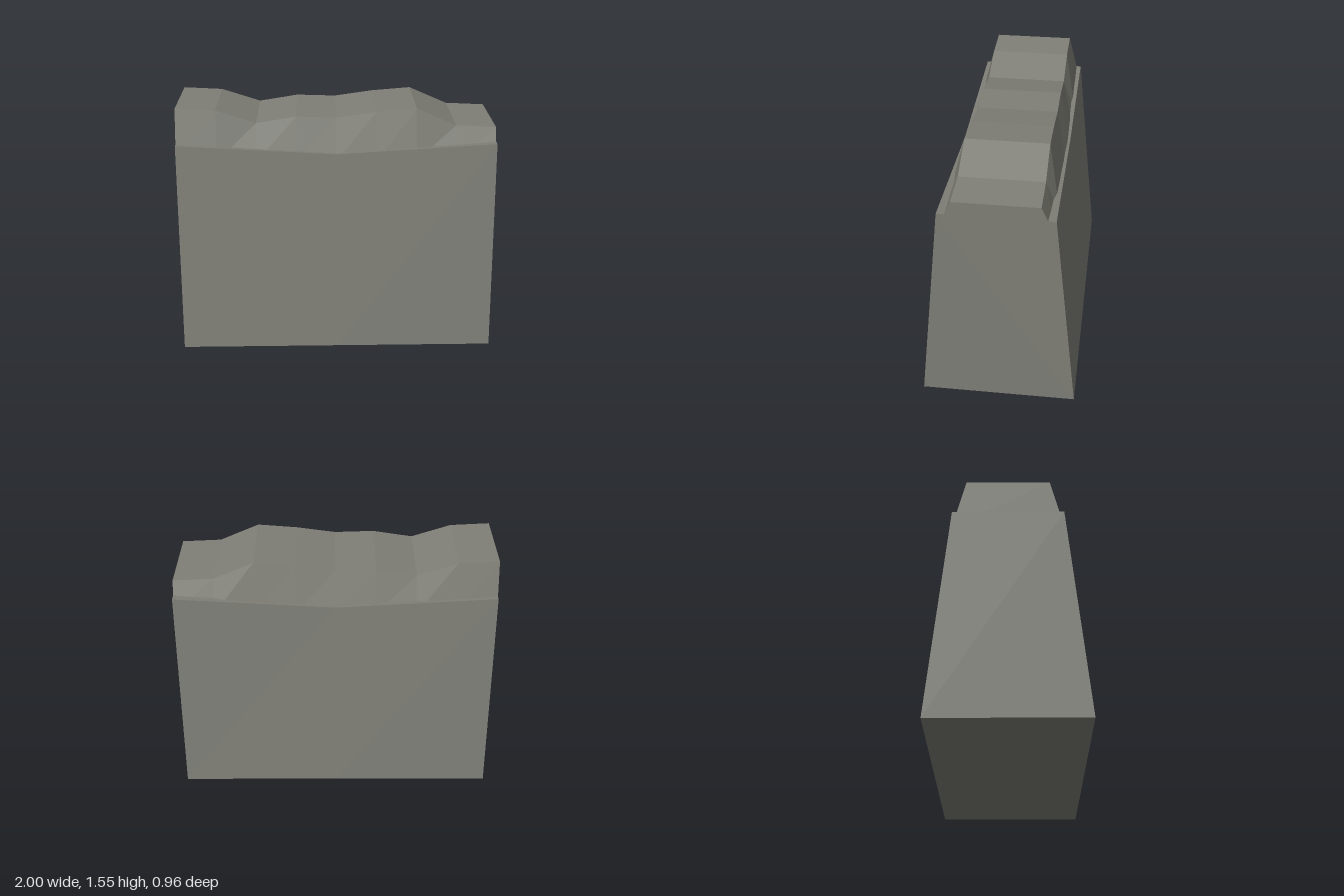
import * as THREE from 'three';

// Solid lofted along x; each section is four [y, z] corners, counter-clockwise seen from +x
function loft(xs, sections) {
  const pos = [], idx = [];
  const n = 4, last = (xs.length - 1) * n;
  xs.forEach((x, i) => sections[i].forEach(([y, z]) => pos.push(x, y, z)));
  for (let i = 0; i < xs.length - 1; i++) {
    for (let j = 0; j < n; j++) {
      const a = i * n + j, b = i * n + (j + 1) % n;
      idx.push(a, a + n, b + n, a, b + n, b);
    }
  }
  // End caps
  idx.push(0, 1, 2, 0, 2, 3);
  idx.push(last, last + 2, last + 1, last, last + 3, last + 2);
  const geo = new THREE.BufferGeometry();
  geo.setAttribute('position', new THREE.Float32BufferAttribute(pos, 3));
  geo.setIndex(idx);
  const flat = geo.toNonIndexed();
  flat.computeVertexNormals();
  return flat;
}

// Symmetric tapering section
const section = (y0, z0, y1, z1) => [[y0, z0], [y0, -z0], [y1, -z1], [y1, z1]].reverse();

export function createModel() {
  const group = new THREE.Group();
  group.name = 'stoneWall';
  const stone = new THREE.MeshStandardMaterial({ color: 0x7f7f77 });
  stone.name = 'grey stone';

  const add = (name, xs, sections) => {
    const mesh = new THREE.Mesh(loft(xs, sections), stone);
    mesh.name = name;
    group.add(mesh);
  };

  // Battered wall with a slightly sagging top
  add('wallBody', [-1, 0, 1], [1.34, 1.28, 1.34].map(y => section(0, 0.478, y, 0.34)));

  // Uneven rubble crest, sunk into the wall
  const crest = [1.555, 1.542, 1.46, 1.5, 1.492, 1.527, 1.547, 1.437, 1.425];
  add('wallCrest', crest.map((_, i) => -1 + i * 0.25), crest.map(y => section(1.235, 0.338, y, 0.255)));

  return group;
}
